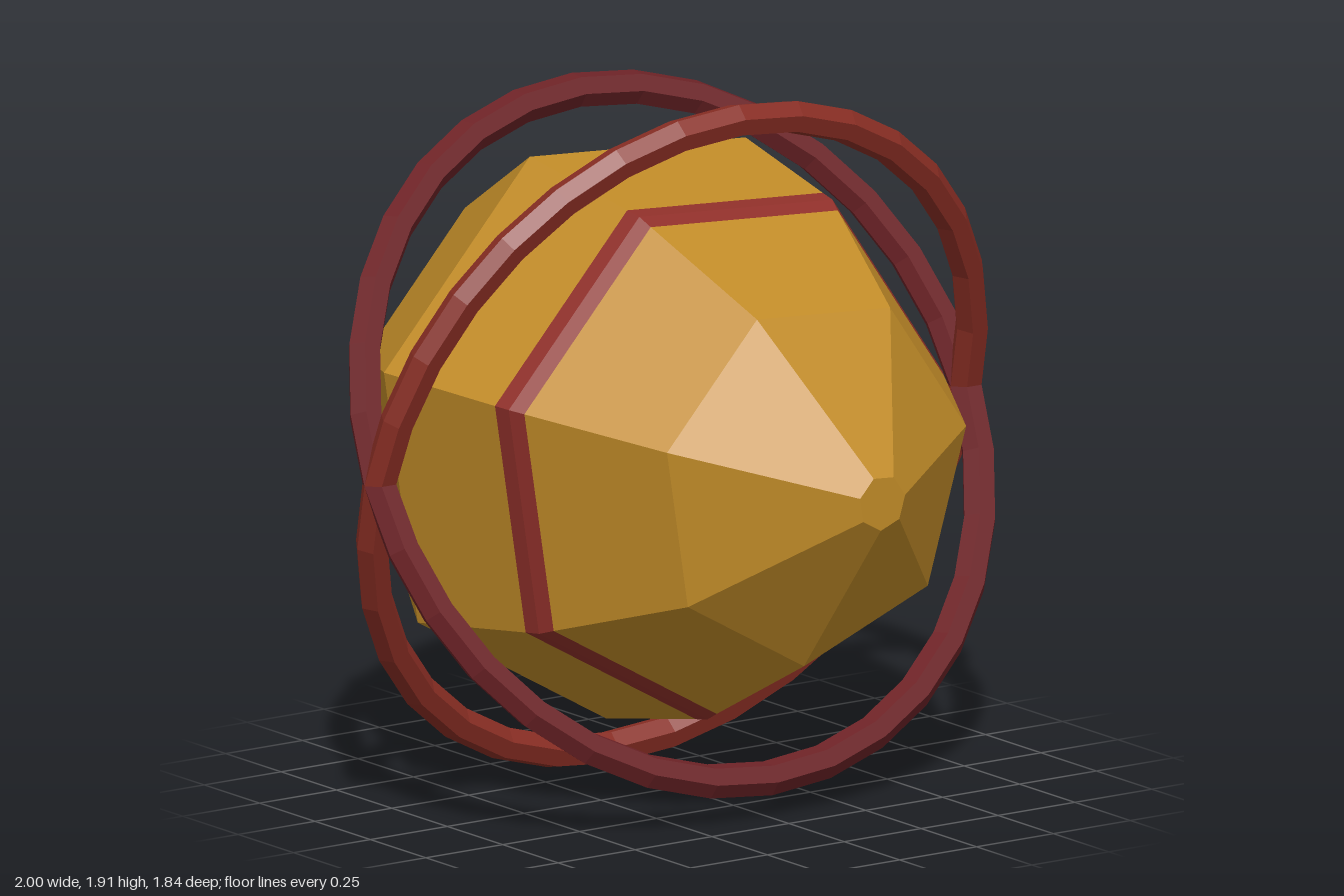
import * as THREE from 'three';

const CENTRE_Y = 0.955;
const SIDES = 7;
const rad = THREE.MathUtils.degToRad;

// Gives every face its own normal for the faceted look
function faceted(geometry) {
  const g = geometry.toNonIndexed();
  g.computeVertexNormals();
  return g;
}

export function createModel() {
  const model = new THREE.Group();
  model.name = 'ringedPod';

  const material = (name, color) => {
    const m = new THREE.MeshStandardMaterial({ color });
    m.name = name;
    return m;
  };
  const ochre = material('ochre', 0xc28c28);
  const red = material('red', 0x90302a);
  const rust = material('rust', 0x8a2e24);
  const maroon = material('maroon', 0x6e2327);

  const add = (name, geometry, mat) => {
    const mesh = new THREE.Mesh(faceted(geometry), mat);
    mesh.name = name;
    mesh.position.y = CENTRE_Y;
    model.add(mesh);
    return mesh;
  };

  // Seven-sided hull sections: [radius, z] from back to front
  const section = (name, profile, mat) => {
    const points = profile.map(([r, z]) => new THREE.Vector2(r, z));
    const g = new THREE.LatheGeometry(points, SIDES, rad(99), Math.PI * 2);
    g.rotateX(Math.PI / 2);
    add(name, g, mat);
  };
  section('rearCap', [[0, -0.922], [0.103, -0.922], [0.118, -0.905]], red);
  section('rearHull', [[0.118, -0.905], [0.555, -0.675], [0.81, -0.25], [0.734, 0.15]], ochre);
  section('hullStripe', [[0.734, 0.15], [0.725, 0.2], [0.702, 0.24]], red);
  section('frontHull', [[0.702, 0.24], [0.5, 0.615], [0.075, 0.922], [0, 0.922]], ochre);

  // Two crossed rings tilted about the x axis
  const ring = (name, tilt, mat) => {
    const mesh = add(name, new THREE.TorusGeometry(0.953, 0.047, 6, 32), mat);
    mesh.rotation.x = rad(tilt);
    mesh.position.z = -0.027;
  };
  ring('forwardRing', 17.6, rust);
  ring('backwardRing', -27, maroon);

  return model;
}
